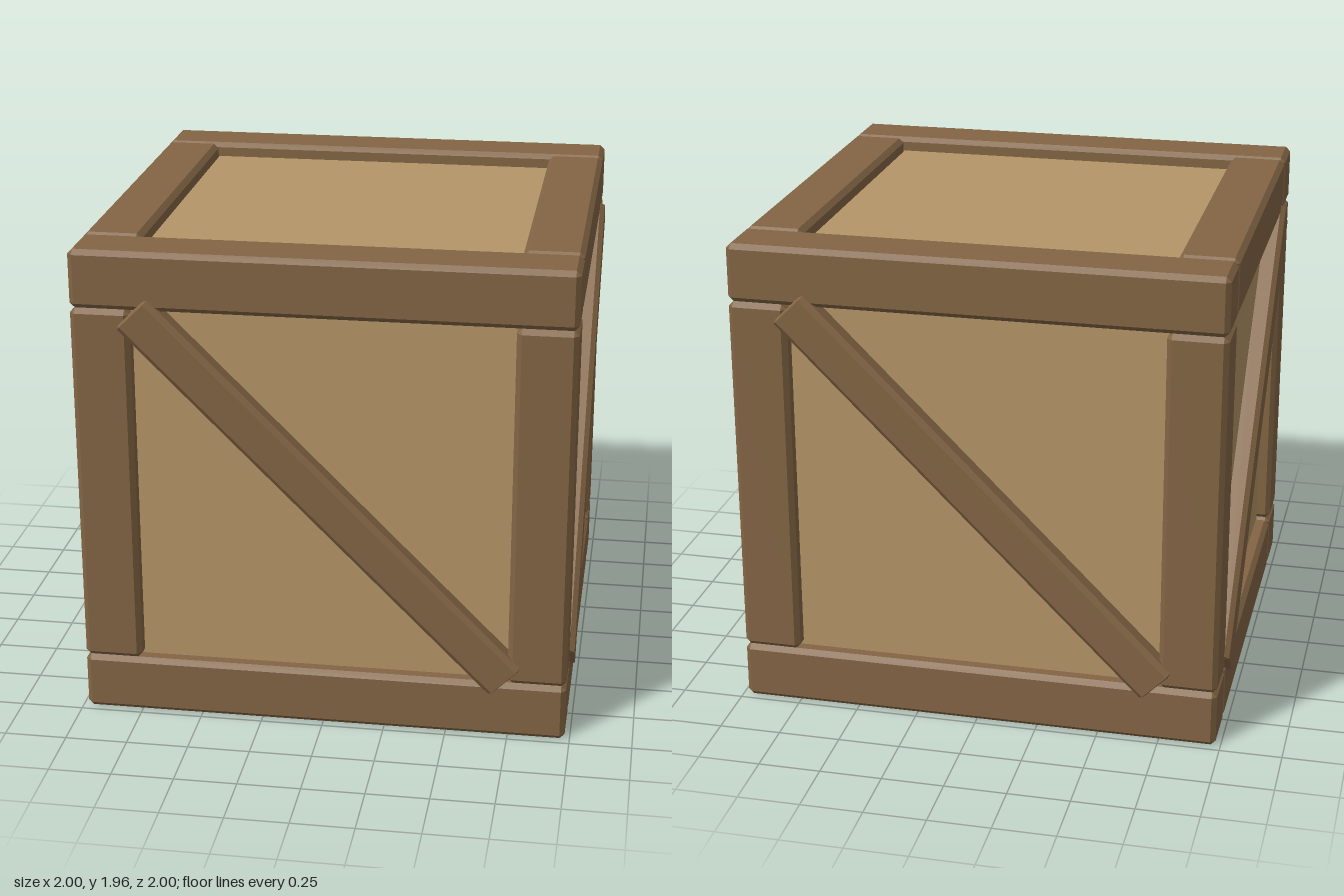
import * as THREE from 'three';
import { ConvexGeometry } from 'three/addons/geometries/ConvexGeometry.js';

const HALF = 0.98;      // outer half size of the frame
const BEAM = 0.235;     // beam thickness
const CENTRE = 0.983;   // mid height

const frameWood = new THREE.MeshStandardMaterial({ color: 0x836544, flatShading: true });
const panelWood = new THREE.MeshStandardMaterial({ color: 0xb59567, flatShading: true });

// Box with every edge chamfered; the chamfer can differ per axis
function chamferBox(w, h, d, cx = 0.02, cy = cx, cz = cx) {
  const points = [];
  const [x, y, z] = [w / 2, h / 2, d / 2];
  for (const i of [-1, 1]) for (const j of [-1, 1]) for (const k of [-1, 1]) {
    points.push(
      new THREE.Vector3(i * x, j * (y - cy), k * (z - cz)),
      new THREE.Vector3(i * (x - cx), j * y, k * (z - cz)),
      new THREE.Vector3(i * (x - cx), j * (y - cy), k * z)
    );
  }
  return new ConvexGeometry(points);
}

export function createModel() {
  const crate = new THREE.Group();
  crate.name = 'crate';

  const add = (name, geometry, material, x, y, z) => {
    const mesh = new THREE.Mesh(geometry, material);
    mesh.name = name;
    mesh.position.set(x, y, z);
    crate.add(mesh);
    return mesh;
  };

  // Recessed panels as one inner box
  add('panels', new THREE.BoxGeometry(1.84, 1.84, 1.84), panelWood, 0, CENTRE, 0);

  const inner = HALF - BEAM;
  const mid = HALF - BEAM / 2;
  const crossRail = chamferBox(HALF * 2, BEAM, BEAM);
  const sideRail = chamferBox(BEAM, BEAM, inner * 2);
  const post = chamferBox(BEAM, inner * 2, BEAM);

  for (const s of [-1, 1]) {
    // Top and bottom rails
    for (const v of [-1, 1]) {
      const y = CENTRE + v * mid;
      const level = v > 0 ? 'top' : 'bottom';
      add(`${level}${s > 0 ? 'Front' : 'Back'}Rail`, crossRail, frameWood, 0, y, s * mid);
      add(`${level}${s > 0 ? 'Left' : 'Right'}Rail`, sideRail, frameWood, s * mid, y, 0);
    }
    // Corner posts
    for (const t of [-1, 1]) {
      add(`${t > 0 ? 'front' : 'back'}${s > 0 ? 'Left' : 'Right'}Post`, post, frameWood, s * mid, CENTRE, t * mid);
    }
  }

  // Diagonal braces, alternating in slope around the four sides
  const brace = chamferBox(2.085, 0.173, 0.12, 0.008, 0.02, 0.02);
  ['front', 'left', 'back', 'right'].forEach((side, i) => {
    const holder = new THREE.Group();
    holder.name = `${side}Brace`;
    holder.position.y = CENTRE;
    holder.rotation.y = i * Math.PI / 2;
    const mesh = new THREE.Mesh(brace, frameWood);
    mesh.name = `${side}BracePlank`;
    mesh.position.z = 0.94;
    mesh.rotation.z = (i % 2 ? 1 : -1) * Math.PI / 4;
    holder.add(mesh);
    crate.add(holder);
  });

  return crate;
}
